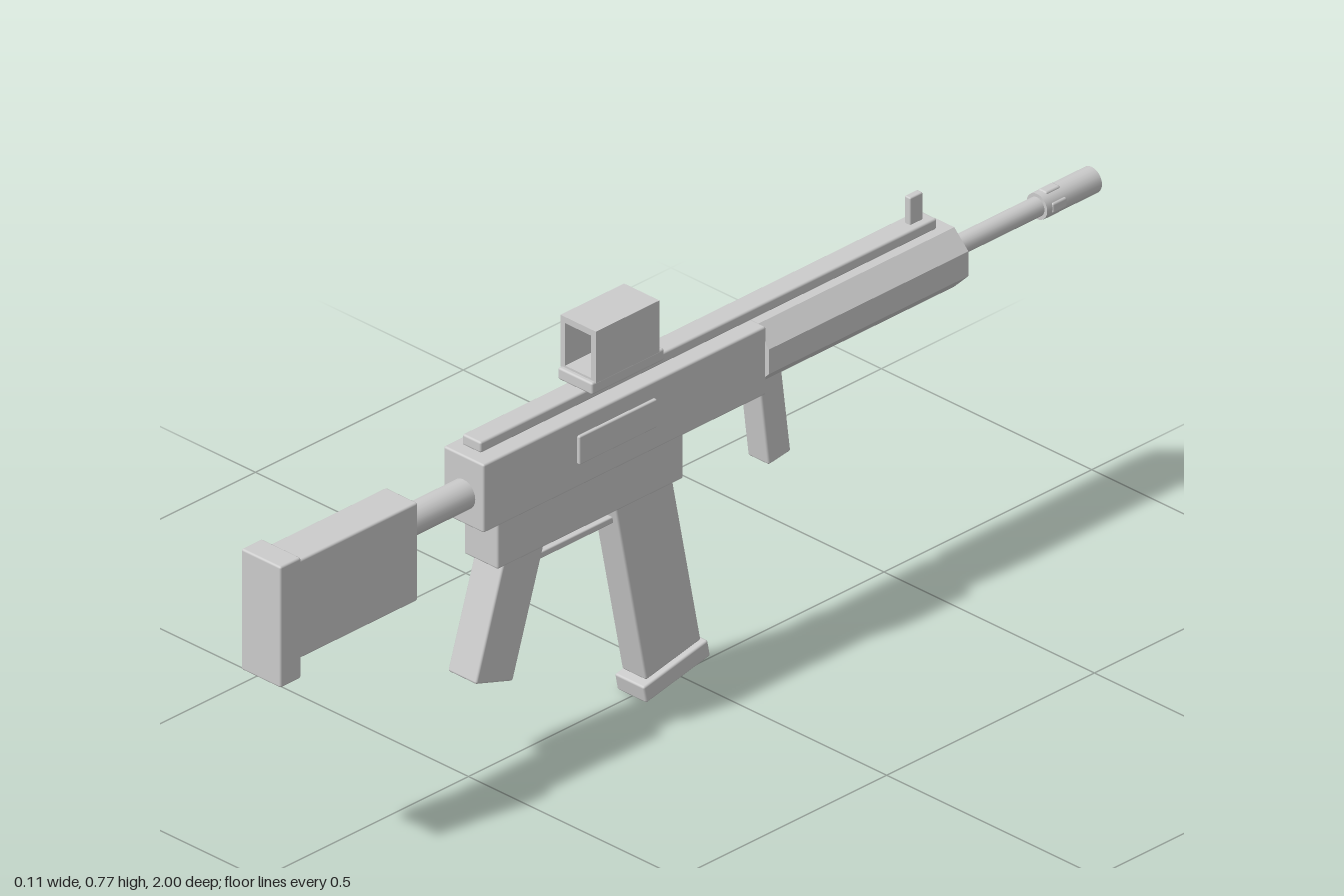
import * as THREE from 'three';
import { RoundedBoxGeometry } from 'three/addons/geometries/RoundedBoxGeometry.js';

const BORE = 0.563; // height of the barrel axis

export function createModel() {
  const group = new THREE.Group();
  const smooth = new THREE.MeshStandardMaterial({ color: 0xcccccc });
  const flat = new THREE.MeshStandardMaterial({ color: 0xcccccc, flatShading: true });

  function add(name, geometry, material = smooth) {
    const mesh = new THREE.Mesh(geometry, material);
    mesh.name = name;
    group.add(mesh);
    return mesh;
  }

  // Softly bevelled block given by its full width and its y and z ranges
  function block(name, w, y0, y1, z0, z1, x = 0) {
    const h = y1 - y0, d = z1 - z0;
    const bevel = Math.min(0.004, Math.min(w, h, d) * 0.2);
    const mesh = add(name, new RoundedBoxGeometry(w, h, d, 2, bevel));
    mesh.position.set(x, (y0 + y1) / 2, (z0 + z1) / 2);
    return mesh;
  }

  // Block leaning about the x axis, given by its centre
  function leaning(name, w, h, d, y, z, angle) {
    const mesh = block(name, w, y - h / 2, y + h / 2, z - d / 2, z + d / 2);
    mesh.rotation.x = angle;
  }

  // Round or faceted bar along z
  function bar(name, radius, sides, z0, z1, y = BORE, material = smooth) {
    const geo = new THREE.CylinderGeometry(radius, radius, z1 - z0, sides);
    if (sides === 8) geo.rotateY(Math.PI / 8);
    geo.rotateX(Math.PI / 2);
    add(name, geo, material).position.set(0, y, (z0 + z1) / 2);
  }

  // Stock
  block('buttPlate', 0.094, 0.388, 0.622, 0.95, 1);
  block('stock', 0.076, 0.42, 0.61, 0.66, 0.955);
  bar('stockTube', 0.028, 24, 0.5, 0.67, 0.553);

  // Body
  block('upperReceiver', 0.096, 0.495, 0.627, -0.168, 0.512);
  block('lowerReceiver', 0.08, 0.405, 0.5, 0.023, 0.47);
  block('ejectionPort', 0.014, 0.54, 0.595, 0.1, 0.287, 0.047);

  // Grip, magazine and trigger guard
  leaning('pistolGrip', 0.068, 0.28, 0.094, 0.318, 0.429, -0.31);
  leaning('magazine', 0.058, 0.42, 0.135, 0.26, 0.077, 0.2);
  leaning('magazineBase', 0.07, 0.034, 0.158, 0.033, 0.033, 0.2);
  block('triggerGuard', 0.032, 0.366, 0.379, 0.16, 0.345);

  // Fore end
  bar('handguard', 0.0622, 8, -0.645, -0.165, BORE, flat);
  leaning('foregrip', 0.05, 0.19, 0.054, 0.435, -0.212, 0.13);
  bar('barrel', 0.018, 20, -0.9, -0.64);
  bar('muzzle', 0.0245, 20, -1, -0.868);
  for (const [w, h] of [[0.052, 0.02], [0.02, 0.052]]) {
    block('muzzleVent', w, BORE - h / 2, BORE + h / 2, -0.915, -0.88);
  }

  // Top rail and front sight
  block('topRail', 0.044, 0.632, 0.653, -0.605, 0.493);
  block('frontSight', 0.014, 0.65, 0.705, -0.587, -0.556);

  // Optic: hollow housing on a base with a lens inside
  block('opticBase', 0.082, 0.653, 0.676, 0.07, 0.244);
  const frame = new THREE.Shape([
    [-0.042, 0.674], [0.042, 0.674], [0.042, 0.774], [-0.042, 0.774],
  ].map(([x, y]) => new THREE.Vector2(x, y)));
  frame.holes.push(new THREE.Path([
    [-0.031, 0.68], [-0.031, 0.762], [0.031, 0.762], [0.031, 0.68],
  ].map(([x, y]) => new THREE.Vector2(x, y))));
  const housing = new THREE.ExtrudeGeometry(frame, { depth: 0.153, bevelEnabled: false });
  add('opticHousing', housing).position.z = 0.083;
  block('opticLens', 0.064, 0.678, 0.764, 0.156, 0.164);

  return group;
}
